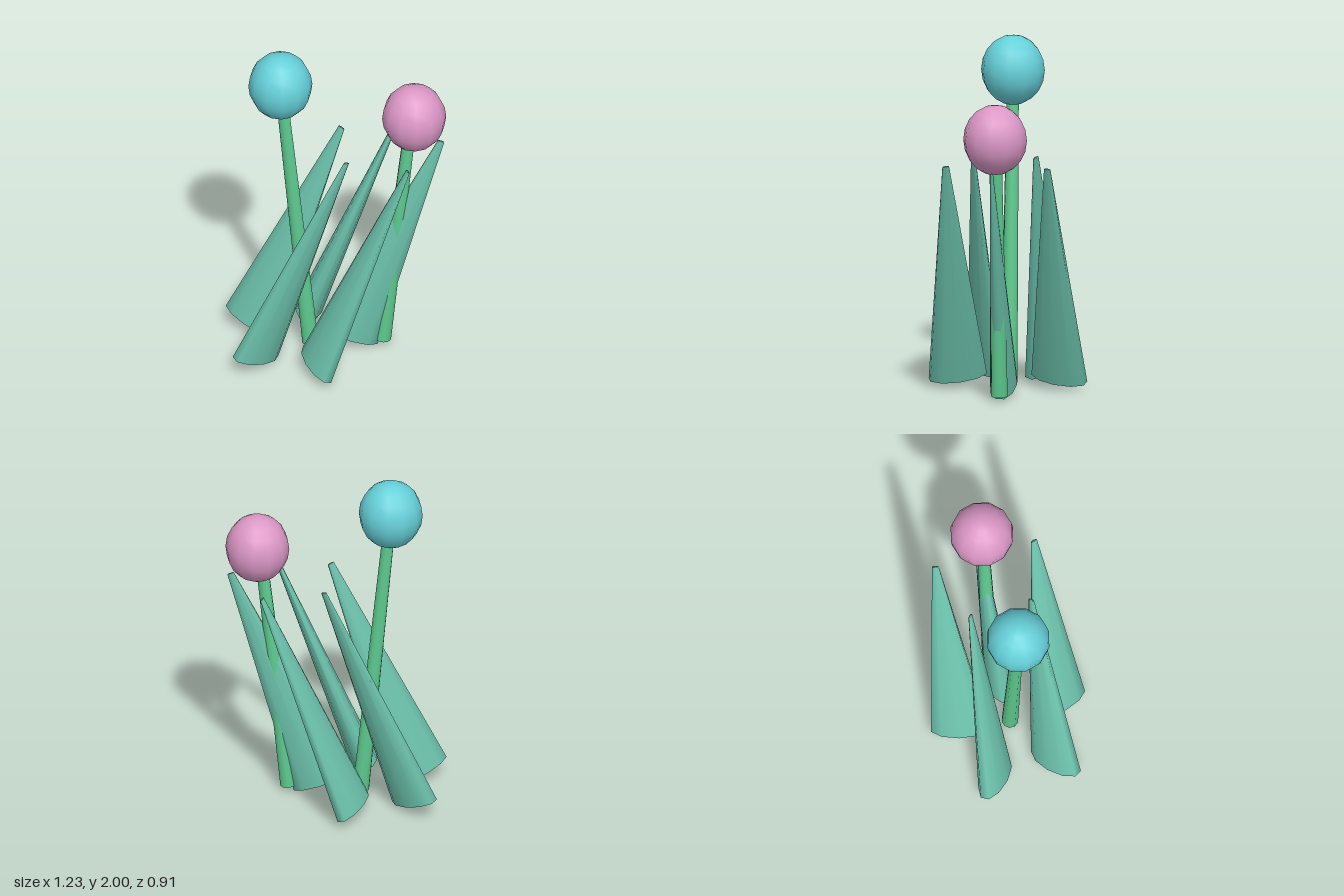
import * as THREE from 'three';
import { mergeVertices } from 'three/addons/utils/BufferGeometryUtils.js';

const mat = (name, color) => {
  const m = new THREE.MeshStandardMaterial({ color });
  m.name = name;
  return m;
};

// Weld the seams and rims so the shading flows over the caps
function weld(geometry) {
  geometry.deleteAttribute('normal');
  geometry.deleteAttribute('uv');
  const welded = mergeVertices(geometry, 1e-4);
  welded.computeVertexNormals();
  return welded;
}

export function createModel() {
  const model = new THREE.Group();
  model.name = 'flowerClump';
  const leafGreen = mat('leaf green', 0x6cc2ac);
  const stemGreen = mat('stem green', 0x5ecb90);
  const blue = mat('blossom blue', 0x66d0d9);
  const pink = mat('blossom pink', 0xdb97c6);

  const add = (name, geometry, material, parent = model) => {
    const mesh = new THREE.Mesh(geometry, material);
    mesh.name = name;
    parent.add(mesh);
    return mesh;
  };

  // Five flattened, tapering leaves in a ring, all leaning to +x
  const leafGeo = weld(new THREE.CylinderGeometry(0.02, 0.172, 1.4, 10).scale(1, 1, 0.45));
  const up = new THREE.Vector3(0, 1, 0);
  const lean = new THREE.Quaternion().setFromAxisAngle(new THREE.Vector3(0, 0, 1), -0.377);
  for (let i = 0; i < 5; i++) {
    const a = (i / 5) * Math.PI * 2;
    const leaf = add('leaf' + (i + 1), leafGeo, leafGreen);
    leaf.quaternion.setFromAxisAngle(up, -a).premultiply(lean);
    leaf.position.set(0.023 + 0.305 * Math.cos(a), 0.715, 0.305 * Math.sin(a));
  }

  // Two flowers: a tapering stem with a slightly tall ball on top
  const ballGeo = weld(new THREE.SphereGeometry(0.182, 12, 10).scale(1, 1.1, 1));
  const flower = (name, baseX, ballX, ballY, stemTopX, material) => {
    const group = new THREE.Group();
    group.name = name;
    model.add(group);
    const base = new THREE.Vector3(baseX, 0.03, 0);
    const top = new THREE.Vector3(stemTopX, ballY, 0);
    const dir = top.clone().sub(base);
    const stem = add('stem', weld(new THREE.CylinderGeometry(0.034, 0.048, dir.length(), 10)), stemGreen, group);
    stem.position.copy(base).add(top).multiplyScalar(0.5);
    stem.quaternion.setFromUnitVectors(up, dir.normalize());
    add('blossom', ballGeo, material, group).position.set(ballX, ballY, 0);
  };
  flower('tallFlower', -0.157, -0.327, 1.8, -0.327, blue);
  flower('shortFlower', 0.255, 0.433, 1.54, 0.418, pink);

  return model;
}
